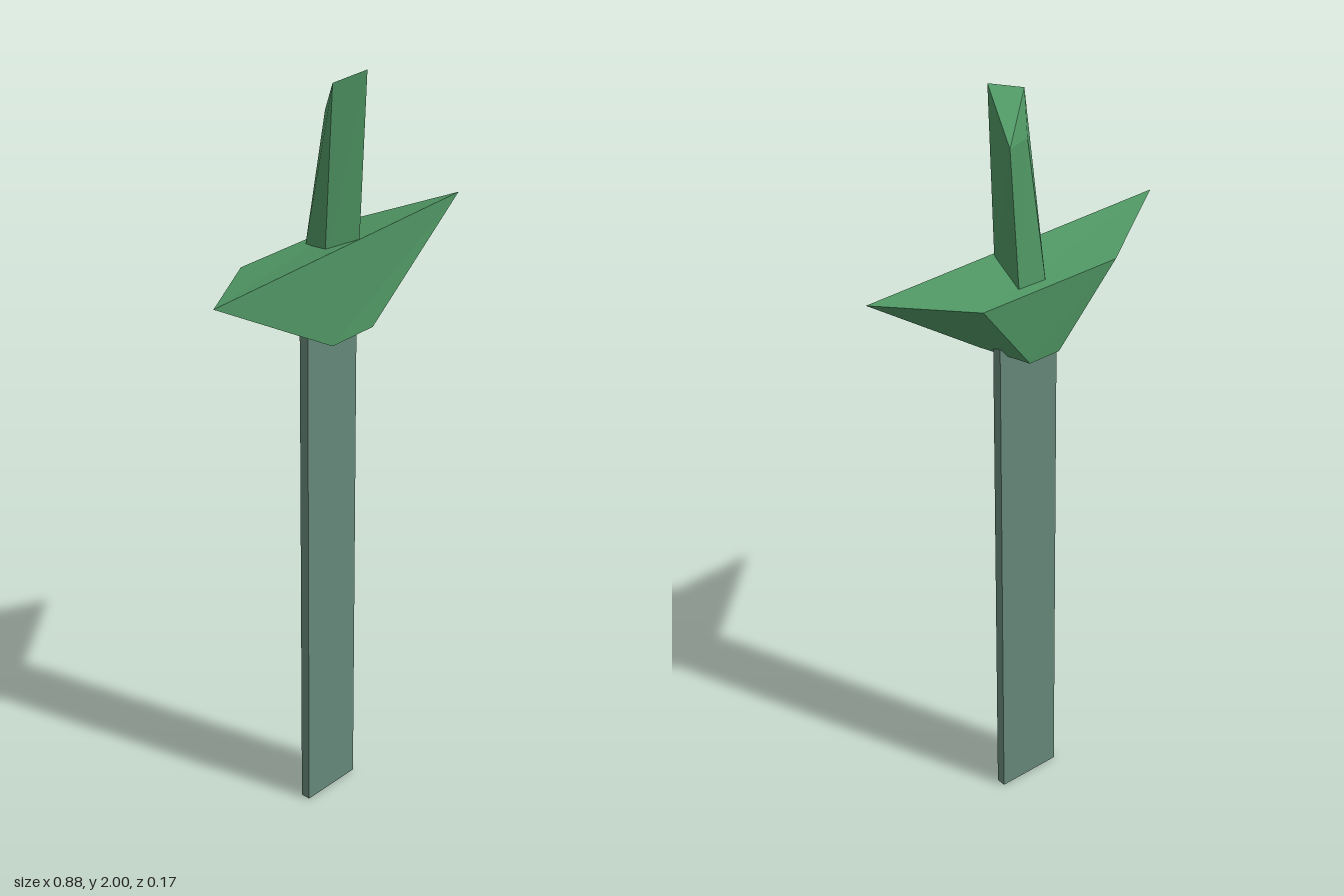
import * as THREE from 'three';

// Flat-shaded block joining two four-cornered rings.
// Corners run counter-clockwise as seen from above.
function block(name, bottom, top, color) {
  const pos = [];
  const quad = (a, b, c, d) => pos.push(...a, ...b, ...c, ...a, ...c, ...d);
  for (let i = 0; i < 4; i++) {
    const j = (i + 1) % 4;
    quad(bottom[i], bottom[j], top[j], top[i]);
  }
  quad(...top);
  quad(...[...bottom].reverse());
  const geometry = new THREE.BufferGeometry();
  geometry.setAttribute('position', new THREE.Float32BufferAttribute(pos, 3));
  geometry.computeVertexNormals();
  const mesh = new THREE.Mesh(geometry, new THREE.MeshStandardMaterial({ color, flatShading: true }));
  mesh.name = name;
  return mesh;
}

export function createModel() {
  const group = new THREE.Group();
  group.name = 'sword';
  const green = 0x4f9563;

  // Thin blunt blade, point end on the ground
  const blade = new THREE.Mesh(
    new THREE.BoxGeometry(0.175, 1.36, 0.026),
    new THREE.MeshStandardMaterial({ color: 0x66887a, flatShading: true })
  );
  blade.name = 'blade';
  blade.position.set(0.015, 0.68, 0.007);
  group.add(blade);

  // Flared crossguard, wide at the top front
  group.add(block('crossguard',
    [[-0.04, 1.335, 0.07], [0.105, 1.335, 0.07], [0.06, 1.335, -0.065], [-0.03, 1.335, -0.065]],
    [[-0.443, 1.572, 0.077], [0.44, 1.58, 0.055], [0.215, 1.54, -0.086], [-0.185, 1.54, -0.088]],
    green));

  // Crooked four-sided grip with a slanted end
  group.add(block('grip',
    [[-0.018, 1.53, 0.025], [0.063, 1.53, 0.06], [0.09, 1.53, -0.063], [0.012, 1.53, -0.066]],
    [[-0.02, 1.98, 0.05], [0.058, 2.0, 0.086], [0.108, 1.905, -0.054], [0.021, 1.89, -0.01]],
    green));

  return group;
}
